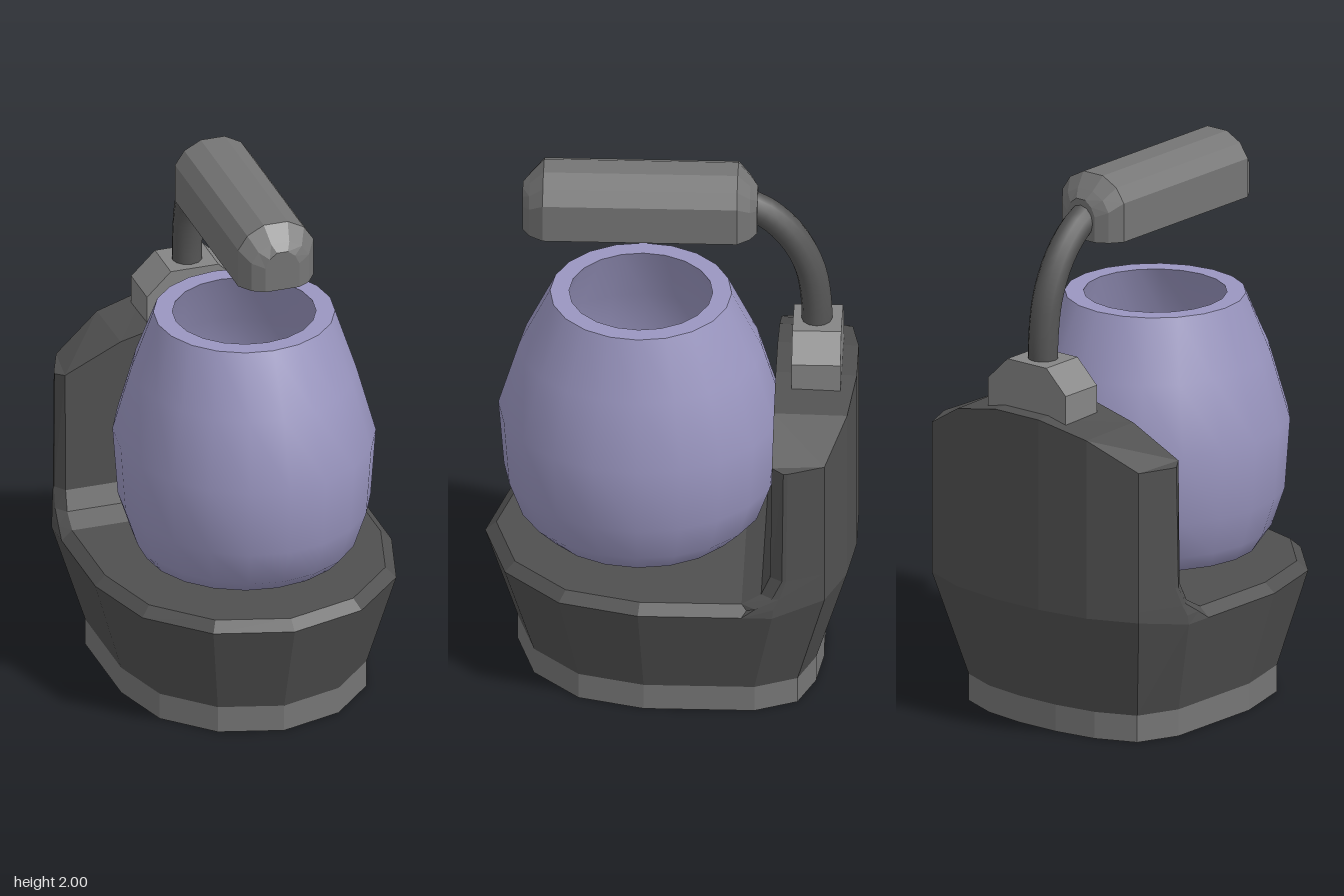
import * as THREE from 'three';
import { toCreasedNormals } from 'three/addons/utils/BufferGeometryUtils.js';

const flat = (color) => new THREE.MeshStandardMaterial({ color, flatShading: true });

// Right half of a ring followed by its mirror image
const sym = (half) => [...half, ...half.map(([x, y, z]) => [-x, y, z]).reverse()];

// Skin closed rings of equal length and cap both ends with strips
function loft(rings) {
  const n = rings[0].length, idx = [];
  const quad = (a, b, c, d) => idx.push(a, b, c, a, c, d);
  for (let r = 0; r < rings.length - 1; r++) {
    for (let i = 0; i < n; i++) {
      const j = (i + 1) % n, a = r * n, b = a + n;
      quad(a + i, a + j, b + j, b + i);
    }
  }
  const t = (rings.length - 1) * n;
  for (let i = 0; i < n / 2 - 1; i++) {
    quad(t + i, t + i + 1, t + n - 2 - i, t + n - 1 - i);
    quad(n - 1 - i, n - 2 - i, i + 1, i);
  }
  const g = new THREE.BufferGeometry();
  g.setAttribute('position', new THREE.Float32BufferAttribute(rings.flat(2), 3));
  g.setIndex(idx);
  const out = g.toNonIndexed();
  out.computeVertexNormals();
  return out;
}

export function createModel() {
  const model = new THREE.Group();
  const add = (name, geometry, material) => {
    const mesh = new THREE.Mesh(geometry, material);
    mesh.name = name;
    model.add(mesh);
    return mesh;
  };
  const dark = flat(0x505050), mid = flat(0x757575), light = flat(0x858585);

  // Plan outline shared by the foot and the tray, front to back
  const back = [[0.48, -0.565], [0.30, -0.64], [0.10, -0.668]];
  const outline = [[0, 0.665], [0.28, 0.585], [0.48, 0.385], [0.56, 0.10], [0.56, -0.38], ...back];
  const ring = (sx, sz, y, yBack = y) =>
    sym(outline.map(([x, z]) => [x * sx, z < -0.5 ? yBack : y, z * sz]));

  add('foot', loft([ring(0.815, 0.825, 0), ring(0.815, 0.825, 0.1)]), mid);
  add('tray', loft([
    ring(0.815, 0.825, 0.1), ring(1, 1, 0.455, 0.488), ring(0.93, 0.94, 0.49),
  ]), dark);

  // Back wall: fillets into the tray, arched top
  const wallRing = (y, fx, fz, sx, sz, s2x, s2z, top) => {
    const h = top ? [1.21, 1.16, 1.06] : [y, y, y];
    const half = [
      [0.10, h[0], fz], [0.30, h[1], fz], [fx, h[2], fz], [sx, y, sz], [s2x, y, s2z],
      ...back.map(([x, z], i) => [x, top ? [1.05, 1.155, 1.2][i] : Math.max(y, 0.488), z]),
    ];
    const r = sym(half);
    return [...r.slice(-4), ...r.slice(0, -4)];
  };
  add('backWall', loft([
    wallRing(0.455, 0.52, -0.25, 0.56, -0.27, 0.56, -0.38),
    wallRing(0.49, 0.52, -0.27, 0.555, -0.32, 0.558, -0.385),
    wallRing(0.53, 0.515, -0.34, 0.547, -0.38, 0.55, -0.405),
    wallRing(0.60, 0.51, -0.372, 0.54, -0.415, 0.538, -0.43),
    wallRing(1.05, 0.51, -0.378, 0.535, -0.42, 0.533, -0.435, true),
  ]), dark);

  // Hollow vessel, slightly narrowed across its belly
  const profile = [
    [0, 0.51], [0.27, 0.51], [0.37, 0.54], [0.44, 0.6], [0.49, 0.74], [0.51, 1.0],
    [0.435, 1.25], [0.325, 1.475], [0.257, 1.475], [0.37, 1.25], [0.44, 1.0],
    [0.42, 0.74], [0.34, 0.6], [0, 0.58],
  ].map(([r, y]) => new THREE.Vector2(r, y));
  const vessel = new THREE.LatheGeometry(profile, 20);
  const p = vessel.attributes.position;
  for (let i = 0; i < p.count; i++) {
    const y = p.getY(i);
    if (y > 0.56 && y < 1.4) p.setX(i, p.getX(i) * 0.915);
  }
  add('vessel', toCreasedNormals(vessel, 0.9),
    new THREE.MeshStandardMaterial({ color: 0x9a96c0 })).position.z = 0.108;

  // Bracket on top of the wall
  const bracket = (z) => sym([[0.18, 1.12, z], [0.18, 1.29, z], [0.09, 1.378, z]]);
  add('bracket', loft([bracket(-0.612), bracket(-0.437)]), light);

  // Curved neck
  const neck = new THREE.CatmullRomCurve3([
    [1.3, -0.52], [1.45, -0.52], [1.60, -0.495], [1.73, -0.43], [1.82, -0.34], [1.86, -0.26],
  ].map(([y, z]) => new THREE.Vector3(0, y, z)));
  add('neck', new THREE.TubeGeometry(neck, 16, 0.055, 12),
    new THREE.MeshStandardMaterial({ color: 0x555555 }));

  // Lamp head: bevelled bar with tapered ends
  const headRing = (z, s, top) => sym([
    [0.142, 1.77], [0.142, 1.915], [0.107, 1.967], [0.045, 2.0],
  ].map(([x, y]) => [x * s, 1.77 + (y - 1.77) * (top - 1.77) / 0.23, z]));
  add('lampHead', loft([
    headRing(-0.31, 0.45, 1.92), headRing(-0.285, 0.76, 1.95), headRing(-0.24, 1, 2),
    headRing(0.455, 1, 2), headRing(0.505, 0.76, 1.945), headRing(0.53, 0.45, 1.92),
  ]), mid);

  return model;
}
